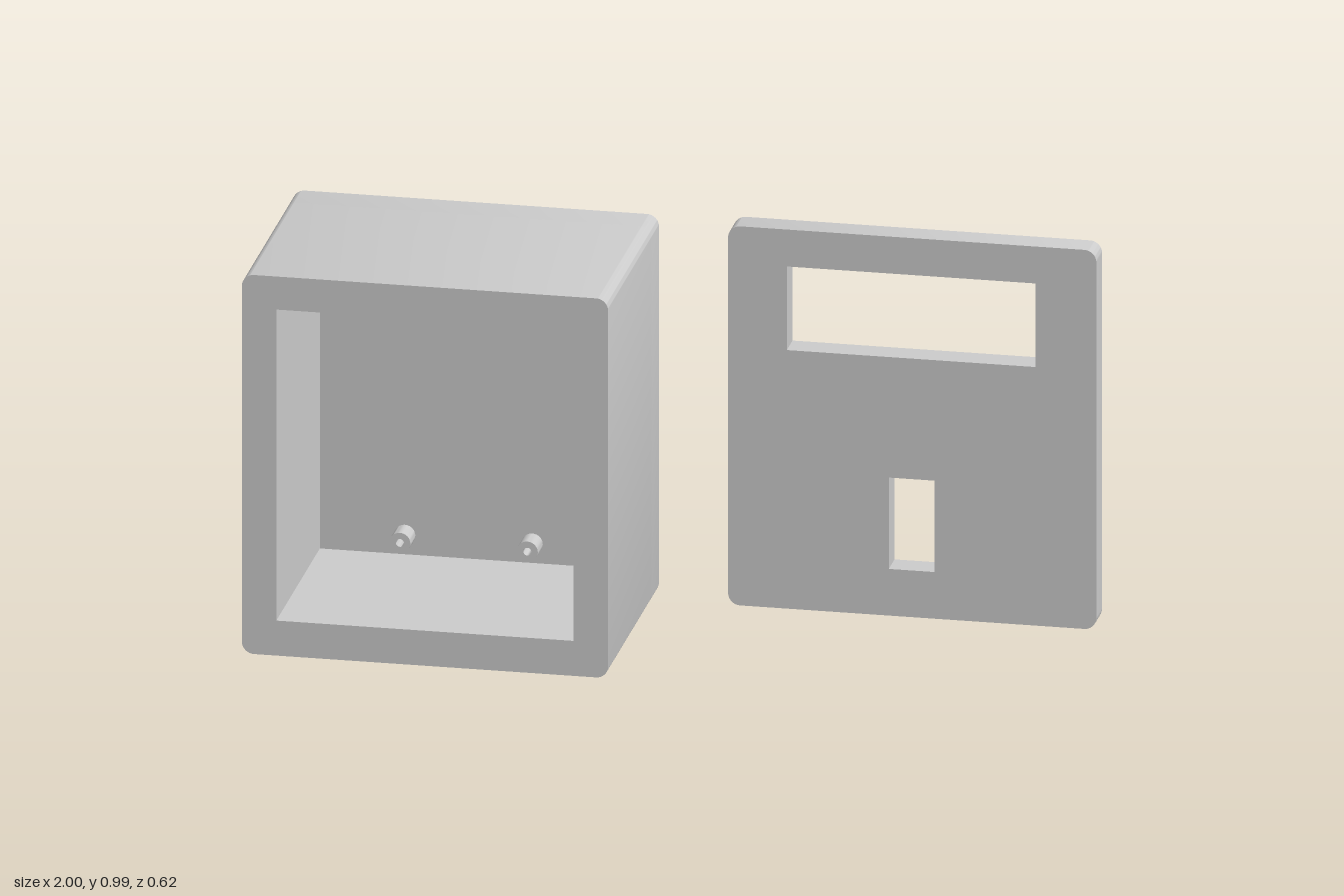
import * as THREE from 'three';
import { toCreasedNormals } from 'three/addons/utils/BufferGeometryUtils.js';

const material = new THREE.MeshStandardMaterial({ color: 0xcccccc });

// Rectangle outline with rounded corners
function roundedRect(x0, y0, x1, y1, r) {
  const s = new THREE.Shape();
  s.absarc(x1 - r, y0 + r, r, -Math.PI / 2, 0);
  s.absarc(x1 - r, y1 - r, r, 0, Math.PI / 2);
  s.absarc(x0 + r, y1 - r, r, Math.PI / 2, Math.PI);
  s.absarc(x0 + r, y0 + r, r, Math.PI, Math.PI * 1.5);
  s.closePath();
  return s;
}

function rectHole(x0, y0, x1, y1) {
  return new THREE.Path([[x0, y0], [x0, y1], [x1, y1], [x1, y0]].map(p => new THREE.Vector2(...p)));
}

// Extrude a shape between two depths, smooth round its curves
function slab(name, shape, z0, z1) {
  const g = new THREE.ExtrudeGeometry(shape, { depth: z1 - z0, bevelEnabled: false, curveSegments: 12 });
  g.translate(0, 0, z0);
  const mesh = new THREE.Mesh(toCreasedNormals(g, 0.6), material);
  mesh.name = name;
  return mesh;
}

export function createModel() {
  const model = new THREE.Group();
  model.name = 'enclosure';
  const back = -0.31, front = 0.31, floor = -0.22;

  // Open-fronted box: rim walls plus back panel
  const box = new THREE.Group();
  box.name = 'box';
  const outline = () => roundedRect(-1, 0, -0.095, 0.975, 0.03);
  const walls = outline();
  walls.holes.push(rectHole(-0.915, 0.09, -0.18, 0.89));
  box.add(slab('boxWalls', walls, floor, front));
  box.add(slab('boxBack', outline(), back, floor));

  // Four hollow mounting posts on the back panel
  for (const x of [-0.705, -0.39]) {
    for (const y of [0.14, 0.84]) {
      const ring = new THREE.Shape().absarc(x, y, 0.026, 0, Math.PI * 2);
      ring.holes.push(new THREE.Path().absarc(x, y, 0.01, 0, Math.PI * 2, true));
      box.add(slab('mountingPost', ring, floor, -0.16));
    }
  }
  model.add(box);

  // Lid with display window and switch slot
  const lid = roundedRect(0.09, 0.01, 1, 0.985, 0.03);
  lid.holes.push(rectHole(0.235, 0.675, 0.85, 0.89), rectHole(0.487, 0.13, 0.6, 0.365));
  model.add(slab('lid', lid, back, -0.24));

  return model;
}
